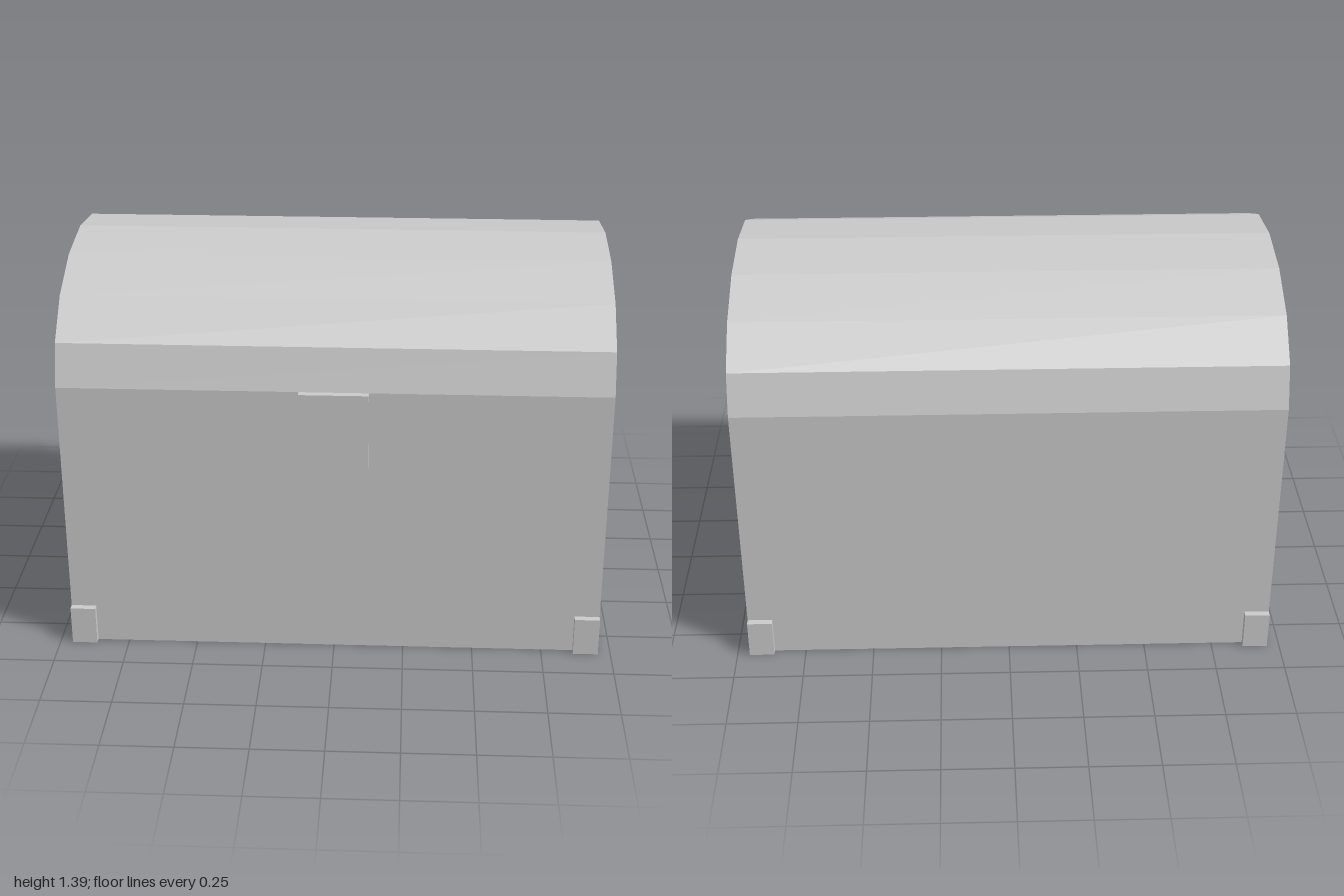
import * as THREE from 'three';

const HALF_LENGTH = 0.955, HALF_DEPTH = 0.6, WALL = 1.005, LID_RISE = 0.385;

export function createModel() {
  const chest = new THREE.Group();
  chest.name = 'chest';
  const material = new THREE.MeshStandardMaterial({ color: 0xcccccc, flatShading: true });

  const add = (name, geometry, x, y, z) => {
    const mesh = new THREE.Mesh(geometry, material);
    mesh.name = name;
    mesh.position.set(x, y, z);
    chest.add(mesh);
    return mesh;
  };

  // Body and barrel lid: one end profile with an eight-facet arch, run along x
  const profile = new THREE.Shape();
  profile.moveTo(-HALF_DEPTH, 0);
  profile.lineTo(HALF_DEPTH, 0);
  for (let i = 0; i <= 8; i++) {
    const a = (i / 8) * Math.PI;
    profile.lineTo(HALF_DEPTH * Math.cos(a), WALL + LID_RISE * Math.sin(a));
  }
  profile.closePath();
  const body = new THREE.ExtrudeGeometry(profile, { depth: HALF_LENGTH * 2, bevelEnabled: false });
  body.translate(0, 0, -HALF_LENGTH).rotateY(Math.PI / 2);
  add('body', body, 0, 0, 0);

  // Lock plate on the front
  add('lockPlate', new THREE.BoxGeometry(0.24, 0.285, 0.025), 0, 0.8625, HALF_DEPTH + 0.0125);

  for (const side of [-1, 1]) {
    const label = side > 0 ? 'left' : 'right';

    // Octagonal ring handle with a diamond section on each end
    const ring = new THREE.TorusGeometry(0.12, 0.0175, 4, 8).rotateY(Math.PI / 2);
    add(label + 'Handle', ring, side * 0.9825, 0.707, 0);

    // Corner feet, front and back
    for (const face of [-1, 1]) {
      add(label + (face > 0 ? 'Front' : 'Back') + 'Foot', new THREE.BoxGeometry(0.09, 0.142, 0.024),
        side * (HALF_LENGTH - 0.045), 0.071, face * (HALF_DEPTH + 0.012));
    }
  }
  return chest;
}
